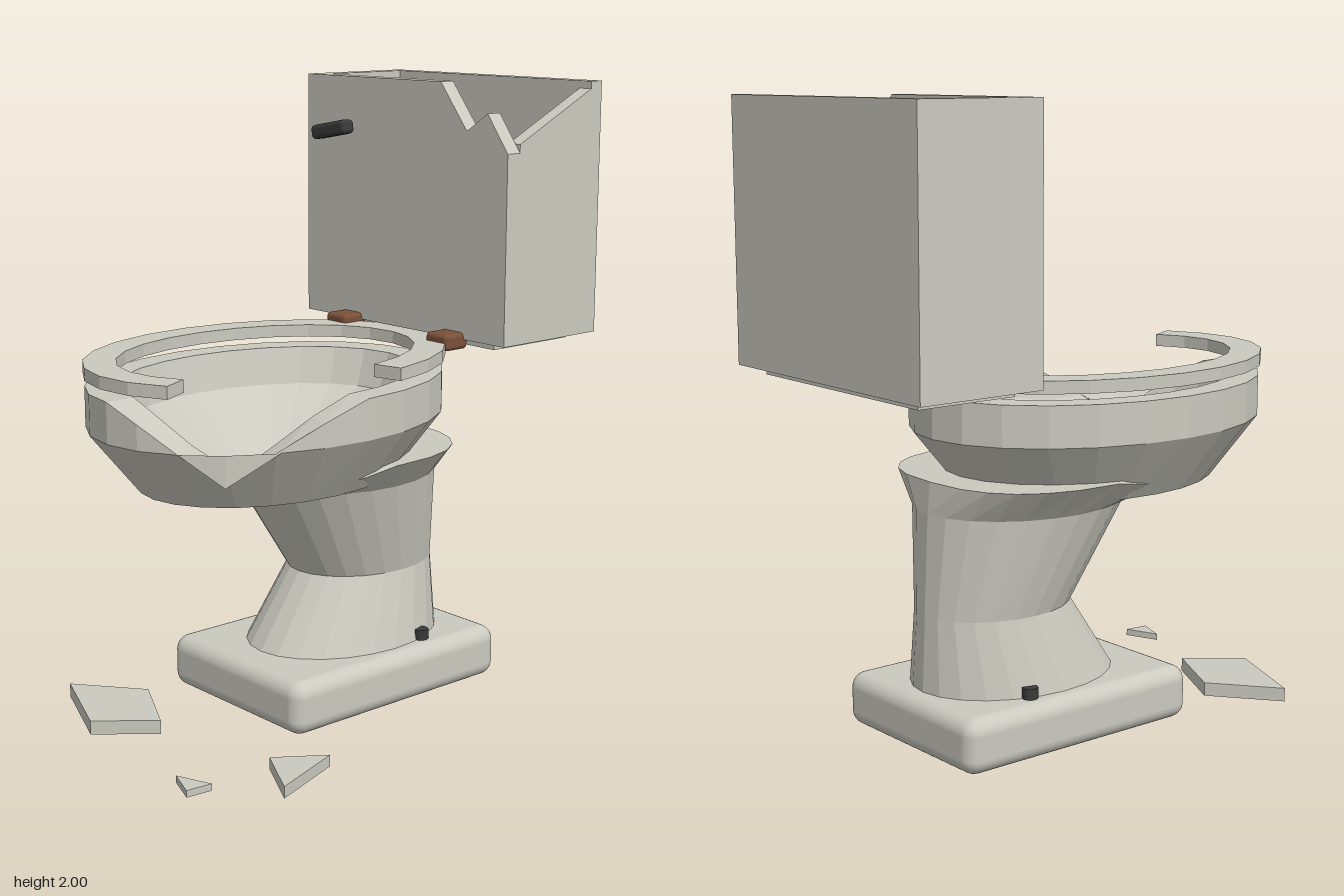
import * as THREE from 'three';
import { RoundedBoxGeometry } from 'three/addons/geometries/RoundedBoxGeometry.js';

const CX = -0.075, CZ = 0.165, SIDES = 24;

export function createModel() {
  const model = new THREE.Group();
  const material = (name, color) =>
    Object.assign(new THREE.MeshStandardMaterial({ color, side: THREE.DoubleSide }), { name });
  const porcelain = material('porcelain', 0xcbcac0);
  const black = material('black rubber', 0x3a3a3b);
  const rust = material('rusty brown', 0x7a5039);

  const add = (name, geometry, mat, x = 0, y = 0, z = 0, parent = model) => {
    const mesh = new THREE.Mesh(geometry, mat);
    mesh.name = name;
    mesh.position.set(x, y, z);
    parent.add(mesh);
    return mesh;
  };

  // Faceted skin through a list of closed rings, each a function of angle
  const loft = (rings) => {
    const pos = [];
    for (let r = 0; r < rings.length - 1; r++) {
      for (let s = 0; s < SIDES; s++) {
        const a = rings[r](s), b = rings[r + 1](s);
        const c = rings[r](s + 1), d = rings[r + 1](s + 1);
        pos.push(...a, ...b, ...c, ...c, ...b, ...d);
      }
    }
    const g = new THREE.BufferGeometry();
    g.setAttribute('position', new THREE.Float32BufferAttribute(pos, 3));
    g.computeVertexNormals();
    return g;
  };

  const extrude = (points, depth) => new THREE.ExtrudeGeometry(
    new THREE.Shape(points.map(([x, y]) => new THREE.Vector2(x, y))),
    { depth, bevelEnabled: false });
  // Horizontal slab from an x/z outline, its top at y = 0
  const slab = (points, thickness) => extrude(points, thickness).rotateX(Math.PI / 2);

  // Base
  add('base', new RoundedBoxGeometry(0.655, 0.175, 0.89, 4, 0.05), porcelain, CX, 0.0925, -0.12);

  // Pedestal: y, half width, back z, front z, squareness of back, drop at front
  const pedestalRing = (y, w, back, front, power = 1, drop = 0) => (s) => {
    const a = (s % SIDES) / SIDES * Math.PI * 2, c = Math.cos(a), n = Math.sin(a);
    const p = n < 0 ? power : 1;
    const bend = (v) => Math.sign(v) * Math.abs(v) ** p;
    return [CX + w * bend(c), y - drop * Math.max(0, n),
      (back + front) / 2 + (front - back) / 2 * bend(n)];
  };
  add('pedestal', loft([
    pedestalRing(0.17, 0.27, -0.5, 0.21),
    pedestalRing(0.42, 0.21, -0.49, 0.04),
    pedestalRing(0.74, 0.295, -0.475, 0.24),
    pedestalRing(0.84, 0.385, -0.465, 0.4, 0.75, 0.075),
    pedestalRing(0.84, 0.3, -0.25, 0.4, 0.75, 0.075),
  ]), porcelain);

  // Bowl with the rim broken down at the front left corner
  const chip = { 1: 0.055, 2: 0.14, 3: 0.23, 4: 0.13, 5: 0.05 };
  const bowlRing = (y, rx, rz, broken = 0) => (s) => {
    const i = s % SIDES, a = i / SIDES * Math.PI * 2;
    return [CX + rx * Math.cos(a), y - (chip[i] || 0) * broken, CZ + rz * Math.sin(a)];
  };
  add('bowl', loft([
    bowlRing(0.77, 0.335, 0.455),
    bowlRing(0.97, 0.475, 0.62),
    bowlRing(1.1, 0.475, 0.62, 1),
    bowlRing(1.1, 0.385, 0.52, 0.95),
    bowlRing(0.98, 0.355, 0.48, 0.4),
    bowlRing(0.8, 0.175, 0.235),
    bowlRing(0.75, 0.12, 0.12),
  ]), porcelain);
  add('drain', new THREE.CylinderGeometry(0.125, 0.125, 0.02, 16), black, CX, 0.745, 0.15);

  // Broken seat ring
  const arc = (rx, rz) => Array.from({ length: 20 }, (_, i) => {
    const a = THREE.MathUtils.degToRad(63 + 285 * i / 19);
    return [CX + rx * Math.cos(a), CZ + rz * Math.sin(a)];
  });
  add('seat', slab([...arc(0.485, 0.625), ...arc(0.385, 0.52).reverse()], 0.04), porcelain, 0, 1.175, 0);

  // Seat hinges and floor bolts
  for (const side of [-1, 1]) {
    add('hinge', new RoundedBoxGeometry(0.1, 0.055, 0.1, 2, 0.015), rust, CX + side * 0.245, 1.175, -0.383);
    add('floorBolt', new THREE.CylinderGeometry(0.026, 0.026, 0.035, 8), black, CX + side * 0.25, 0.197, -0.277);
  }

  // Cistern: open box with a cracked front and right-hand corner
  const tank = new THREE.Group();
  tank.name = 'tank';
  model.add(tank);
  const box = (name, x0, x1, y0, y1, z0, z1) => add(name,
    new THREE.BoxGeometry(x1 - x0, y1 - y0, z1 - z0), porcelain,
    (x0 + x1) / 2, (y0 + y1) / 2, (z0 + z1) / 2, tank);
  box('tankBack', -0.55, 0.4, 1.18, 2, -0.84, -0.79);
  box('tankSide', -0.55, -0.495, 1.18, 2, -0.79, -0.465);
  box('tankFloor', -0.495, 0.35, 1.18, 1.23, -0.79, -0.465);
  box('tankMount', -0.47, 0.32, 1.155, 1.18, -0.79, -0.45);
  add('tankFront', extrude([[-0.55, 1.18], [0.4, 1.18], [0.4, 1.79], [0.31, 1.91],
    [0.22, 1.85], [0.1, 2], [-0.55, 2]], 0.055), porcelain, 0, 0, -0.465, tank);
  add('tankBrokenSide', extrude([[-0.79, 1.18], [-0.465, 1.18], [-0.465, 1.817], [-0.79, 1.976]], 0.05)
    .rotateY(-Math.PI / 2), porcelain, 0.4, 0, 0, tank);

  // Fittings inside the cistern
  add('flushValve', new RoundedBoxGeometry(0.18, 0.14, 0.15, 2, 0.025), black, -0.24, 1.3, -0.64, tank);
  add('valveStem', new THREE.CylinderGeometry(0.02, 0.02, 0.1, 10), black, -0.305, 1.35, -0.67, tank);
  add('inletPipe', new THREE.CylinderGeometry(0.04, 0.04, 0.15, 16), rust, 0.105, 1.3, -0.667, tank);

  // Flush handle
  add('flushHandle', new RoundedBoxGeometry(0.17, 0.048, 0.055, 2, 0.015), black, -0.37, 1.823, -0.362)
    .rotation.z = 0.18;

  // Shards on the floor
  add('largeShard', slab([[-0.51, 0.66], [-0.2, 0.79], [-0.06, 0.62], [-0.3, 0.495]], 0.045), porcelain, 0, 0.057, 0);
  add('mediumShard', slab([[0.47, 0.38], [0.555, 0.63], [0.365, 0.53]], 0.037), porcelain, 0, 0.047, 0);
  add('smallShard', slab([[0.26, 0.8], [0.375, 0.755], [0.365, 0.84]], 0.022), porcelain, 0, 0.032, 0);

  return model;
}
